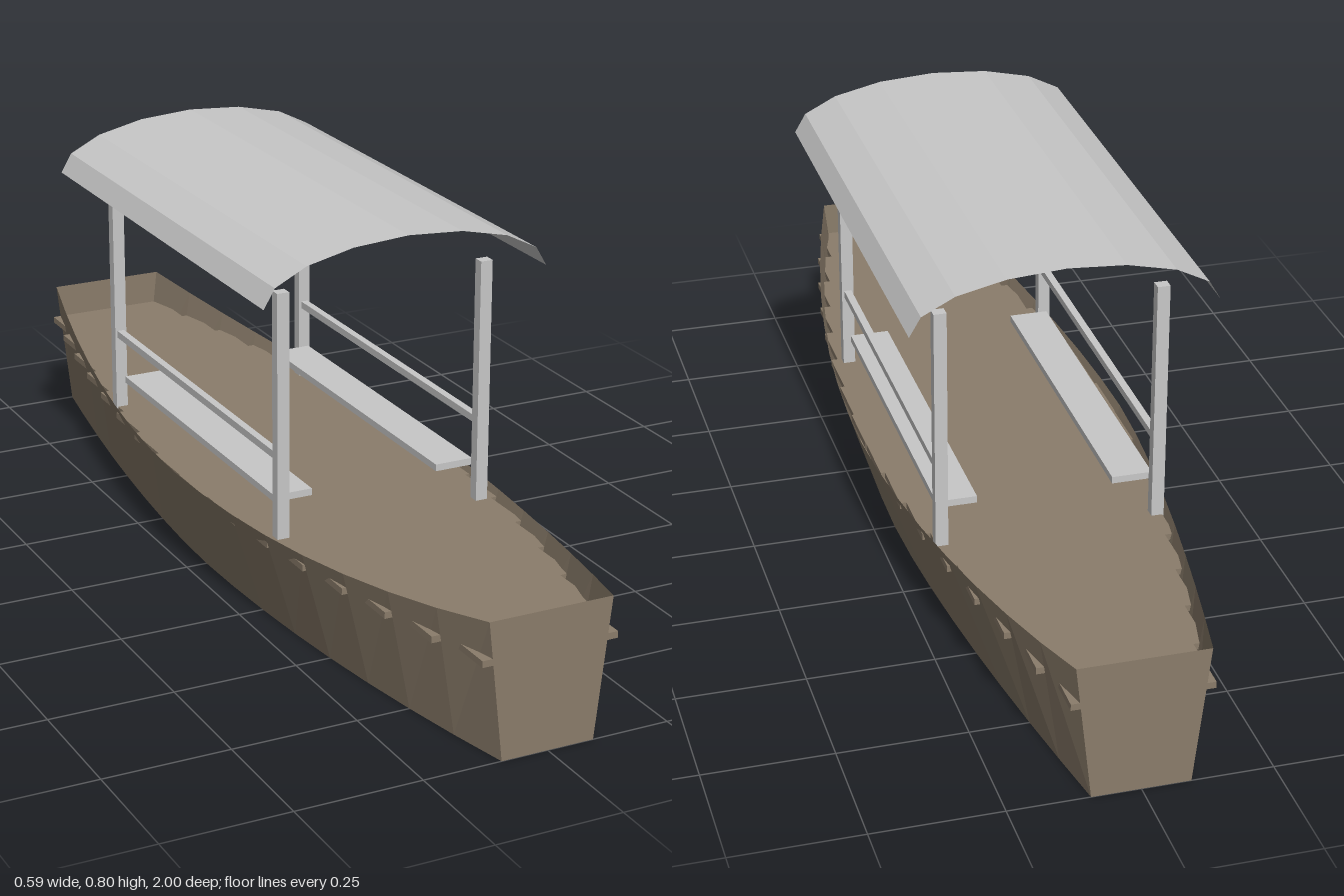
import * as THREE from 'three';

const SEGMENTS = 16;
const STEP = 2 / SEGMENTS;

// Half beam at the gunwale; the stern half tapers a little sooner than the bow half
const halfBeam = (z) => 0.275 - 0.15 * Math.pow(Math.abs(z), z > 0 ? 2 : 1.57);
// Height of the gunwale, rising to both ends
const sheer = (z) => 0.213 + 0.062 * Math.pow(Math.abs(z), 2.5);

function geometryFromQuads(quads) {
  const pos = [];
  for (const [a, b, c, d] of quads) pos.push(...a, ...b, ...c, ...a, ...c, ...d);
  const geometry = new THREE.BufferGeometry();
  geometry.setAttribute('position', new THREE.Float32BufferAttribute(pos, 3));
  geometry.computeVertexNormals();
  return geometry;
}

export function createModel() {
  const model = new THREE.Group();
  model.name = 'canopyBoat';

  const wood = new THREE.MeshStandardMaterial({ color: 0x8b7d6b, flatShading: true, side: THREE.DoubleSide });
  wood.name = 'weathered wood';
  const metal = new THREE.MeshStandardMaterial({ color: 0xc8c8c8, flatShading: true, side: THREE.DoubleSide });
  metal.name = 'light grey metal';

  const add = (parent, name, geometry, material, x = 0, y = 0, z = 0) => {
    const mesh = new THREE.Mesh(geometry, material);
    mesh.name = name;
    mesh.position.set(x, y, z);
    parent.add(mesh);
    return mesh;
  };

  // Hull: flared sides, flat bottom and flat transoms, lofted through cross-sections
  const section = (z) => {
    const w = halfBeam(z), b = w * 0.75, y = sheer(z);
    return { topL: [w, y, z], topR: [-w, y, z], lowL: [b, 0, z], lowR: [-b, 0, z] };
  };
  const quads = [];
  for (let i = 0; i < SEGMENTS; i++) {
    const s = section(-1 + i * STEP), e = section(-1 + (i + 1) * STEP);
    quads.push([s.lowL, s.topL, e.topL, e.lowL]);
    quads.push([s.lowR, e.lowR, e.topR, s.topR]);
    quads.push([s.lowR, s.lowL, e.lowL, e.lowR]);
  }
  const bow = section(1), stern = section(-1);
  quads.push([bow.lowR, bow.lowL, bow.topL, bow.topR]);
  quads.push([stern.lowL, stern.lowR, stern.topR, stern.topL]);
  add(model, 'hull', geometryFromQuads(quads), wood);

  // Deck: planks laid across the hull, stepped along the edges
  const deck = new THREE.Group();
  deck.name = 'deck';
  model.add(deck);
  for (let i = 0; i < SEGMENTS; i++) {
    const z = -1 + (i + 0.5) * STEP;
    add(deck, 'deckPlank', new THREE.BoxGeometry(halfBeam(z) * 1.92, 0.013, STEP), wood, 0, 0.197, z);
  }

  // Posts, side rails and benches, mirrored left and right
  for (const side of [1, -1]) {
    const label = side > 0 ? 'left' : 'right';
    for (const z of [0.365, -0.415]) {
      add(model, label + 'Post', new THREE.BoxGeometry(0.025, 0.495, 0.022), metal, side * 0.215, 0.4475, z);
    }
    add(model, label + 'Rail', new THREE.BoxGeometry(0.015, 0.015, 0.78), metal, side * 0.215, 0.366, -0.025);
    add(model, label + 'Bench', new THREE.BoxGeometry(0.08, 0.014, 0.72), metal, side * 0.175, 0.27, -0.025);
  }

  // Canopy: thin half-elliptic sheet with eight flat panels
  const panels = 8;
  const rim = (i, z) => {
    const a = (i / panels) * Math.PI;
    return [0.295 * Math.cos(a), 0.7 + 0.1 * Math.sin(a), z];
  };
  const roof = [];
  for (let i = 0; i < panels; i++) {
    roof.push([rim(i, 0.46), rim(i, -0.513), rim(i + 1, -0.513), rim(i + 1, 0.46)]);
  }
  add(model, 'canopy', geometryFromQuads(roof), metal);

  return model;
}
